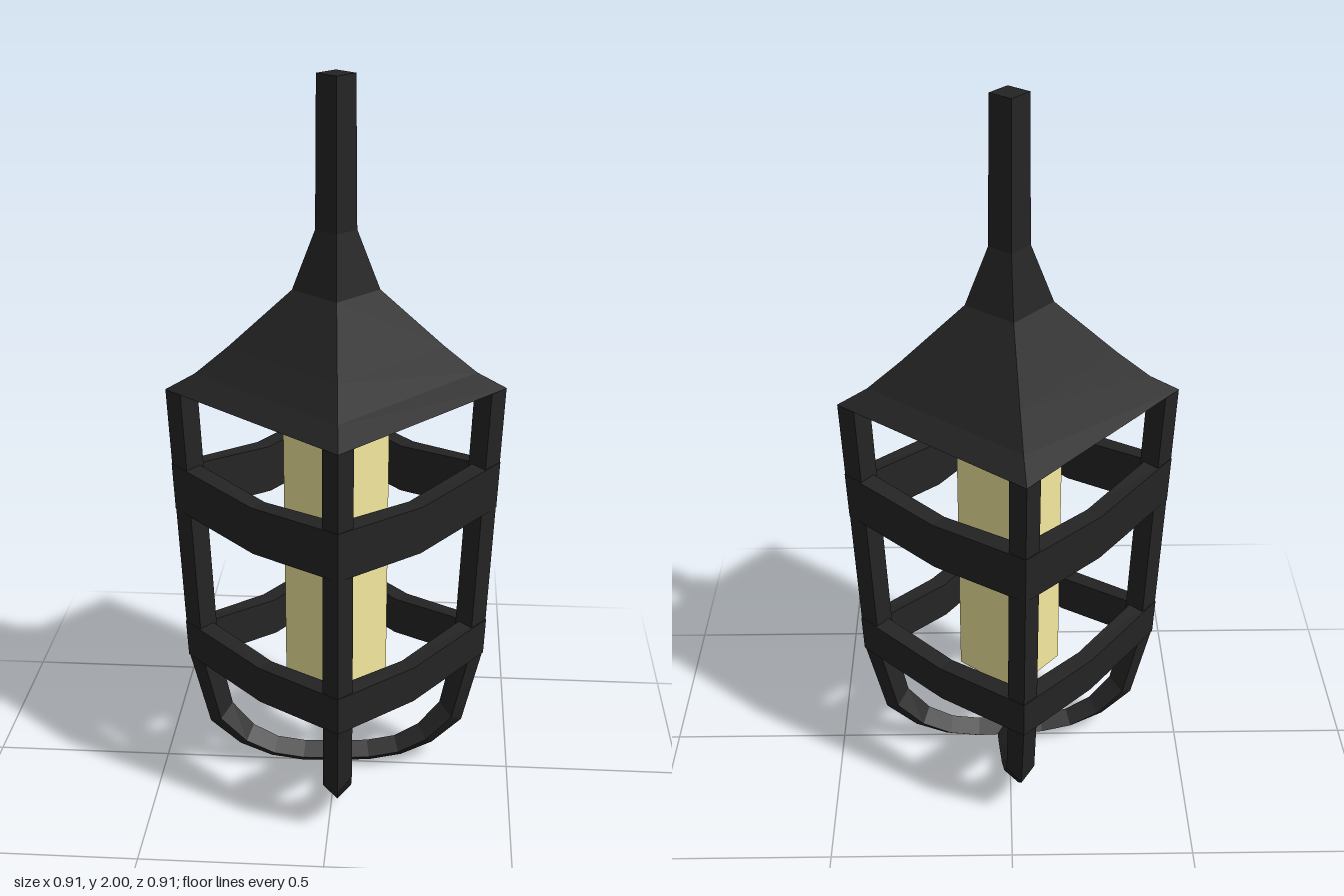
import * as THREE from 'three';

const iron = new THREE.MeshStandardMaterial({ color: 0x242424, flatShading: true });
const glow = new THREE.MeshStandardMaterial({ color: 0xf4e99f, flatShading: true });

// Skin four-cornered sections into a bar; closed joins the last to the first.
function loft(sections, closed) {
  const pos = [];
  const quad = (a, b, c, d) => [a, b, c, a, c, d].forEach((p) => pos.push(...p));
  const n = sections.length;
  for (let i = 0; i < (closed ? n : n - 1); i++) {
    const s = sections[i], t = sections[(i + 1) % n];
    for (let j = 0; j < 4; j++) {
      const k = (j + 1) % 4;
      quad(s[j], s[k], t[k], t[j]);
    }
  }
  if (!closed) {
    const s = sections[0], t = sections[n - 1];
    quad(s[3], s[2], s[1], s[0]);
    quad(t[0], t[1], t[2], t[3]);
  }
  const geo = new THREE.BufferGeometry();
  geo.setAttribute('position', new THREE.Float32BufferAttribute(pos, 3));
  geo.computeVertexNormals();
  return geo;
}

// Square-plan solid turned from a radius/height profile.
function squareLathe(profile) {
  return new THREE.LatheGeometry(profile.map(([r, y]) => new THREE.Vector2(r, y)), 4);
}

// Cage bar running down one corner, under the lamp and up the opposite corner.
function archGeometry() {
  // [outer radius, outer height, inner radius, inner height]
  const half = [
    [0.455, 1.17, 0.37, 1.17], [0.42, 0.37, 0.335, 0.37],
    [0.365, 0.14, 0.3, 0.2], [0.28, 0.062, 0.24, 0.126],
    [0.19, 0.02, 0.17, 0.085], [0.1, 0.003, 0.09, 0.07],
  ];
  const mirrored = half.map(([a, b, c, d]) => [-a, b, -c, d]).reverse();
  const path = [...half, [0, 0, 0, 0.068], ...mirrored];
  const w = 0.039;
  return loft(path.map(([xo, yo, xi, yi]) => {
    const x = (xo + xi) / 2, y = (yo + yi) / 2;
    return [[xo, yo, 0], [x, y, w], [xi, yi, 0], [x, y, -w]];
  }), false);
}

// Square hoop whose sides dip in the middle.
function hoopGeometry(rTop, rBottom, top, bottom) {
  const sections = [];
  const depth = 0.07, dip = 0.03;
  for (let i = 0; i < 8; i++) {
    const a = i * Math.PI / 4, mid = i % 2;
    const k = mid ? Math.SQRT1_2 : 1;
    const at = (r, y) => [Math.cos(a) * r * k, y - mid * dip, -Math.sin(a) * r * k];
    sections.push([at(rTop, top), at(rBottom, bottom), at(rBottom - depth, bottom), at(rTop - depth, top)]);
  }
  return loft(sections, true);
}

export function createModel() {
  const model = new THREE.Group();
  model.name = 'cageLantern';
  const add = (name, geometry, material) => {
    const mesh = new THREE.Mesh(geometry, material);
    mesh.name = name;
    model.add(mesh);
    return mesh;
  };

  // Flared roof rising into the hanging stem
  add('roofAndStem', squareLathe([
    [0, 1.17], [0.456, 1.17], [0.375, 1.215], [0.285, 1.29],
    [0.115, 1.445], [0.054, 1.605], [0.05, 2], [0, 2],
  ]), iron);

  // Two crossing cage bars
  const arch = archGeometry();
  for (let i = 0; i < 2; i++) {
    add('cageBar' + (i + 1), arch, iron).rotation.y = i * Math.PI / 2;
  }

  // Two hoops around the cage
  add('upperHoop', hoopGeometry(0.447, 0.441, 0.955, 0.82), iron);
  add('lowerHoop', hoopGeometry(0.426, 0.421, 0.47, 0.362), iron);

  // Glowing lamp with a pointed lower end
  add('lamp', squareLathe([[0, 0.18], [0.143, 0.29], [0.143, 1.175], [0, 1.175]]), glow);

  // The whole lantern hangs slightly twisted
  model.rotation.y = 0.077;
  return model;
}
